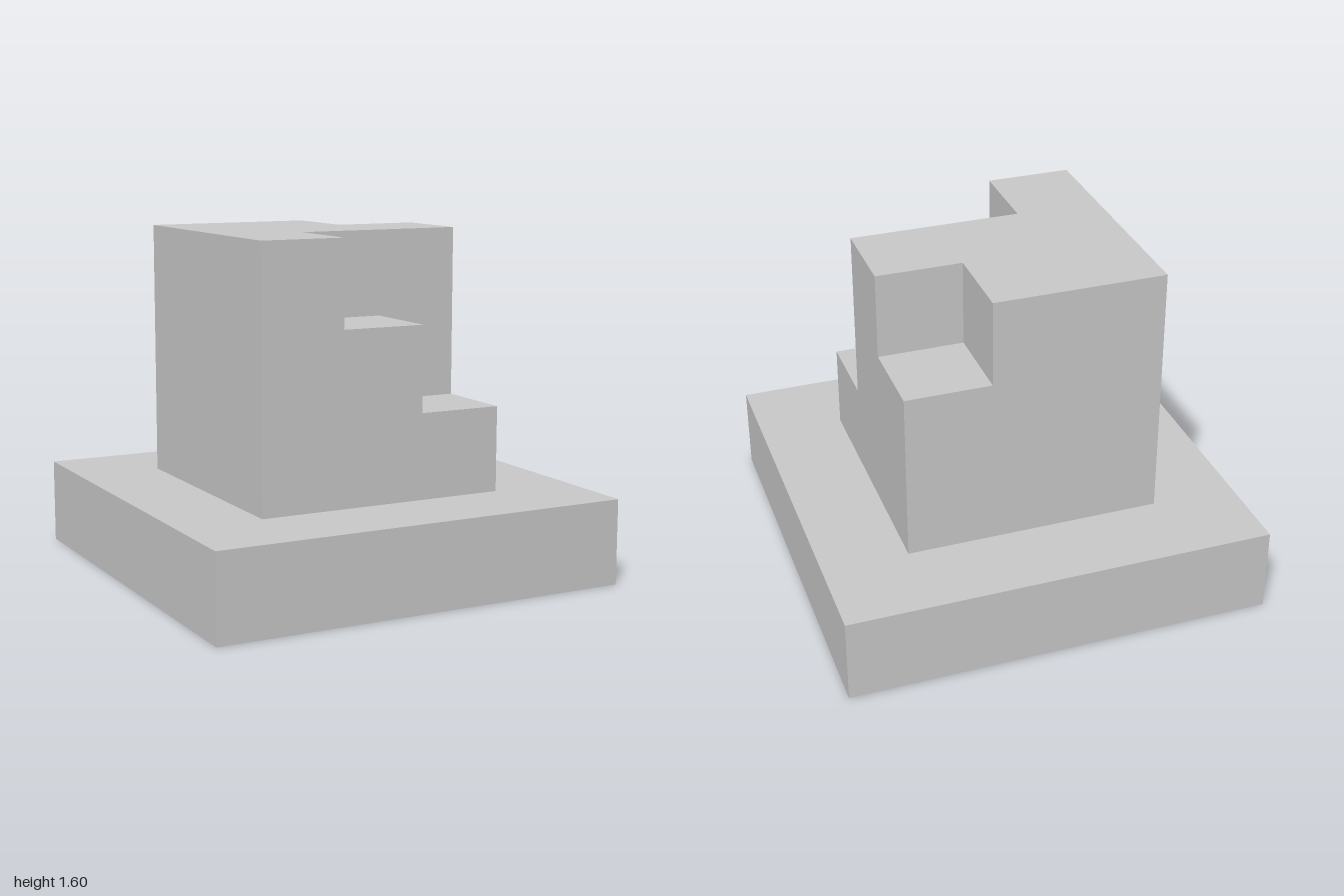
import * as THREE from 'three';

const material = new THREE.MeshStandardMaterial({ color: 0xcccccc, flatShading: true });

// Upright slab: an x-y outline extruded from z0 to z1
function slab(name, outline, z0, z1) {
  const shape = new THREE.Shape(outline.map(([x, y]) => new THREE.Vector2(x, y)));
  const geometry = new THREE.ExtrudeGeometry(shape, { depth: z1 - z0, bevelEnabled: false });
  geometry.translate(0, 0, z0);
  const mesh = new THREE.Mesh(geometry, material);
  mesh.name = name;
  return mesh;
}

export function createModel() {
  const model = new THREE.Group();
  model.name = 'steppedBlockOnPlinth';

  // Square plinth
  const plinth = new THREE.Mesh(new THREE.BoxGeometry(2, 0.4, 2), material);
  plinth.name = 'plinth';
  plinth.position.y = 0.2;
  model.add(plinth);

  // Cube in three layers: stairs at the front, full core, notched corner at the back
  const block = new THREE.Group();
  block.name = 'block';
  block.add(
    slab('frontSteps', [
      [-0.6, 0.4], [0.6, 0.4], [0.6, 0.8], [0.2, 0.8],
      [0.2, 1.2], [-0.2, 1.2], [-0.2, 1.6], [-0.6, 1.6],
    ], 0.2, 0.6),
    slab('core', [[-0.6, 0.4], [0.6, 0.4], [0.6, 1.6], [-0.6, 1.6]], -0.2, 0.2),
    slab('backNotch', [
      [-0.6, 0.4], [0.6, 0.4], [0.6, 1.2], [0.2, 1.2], [0.2, 1.6], [-0.6, 1.6],
    ], -0.6, -0.2),
  );
  model.add(block);
  return model;
}
